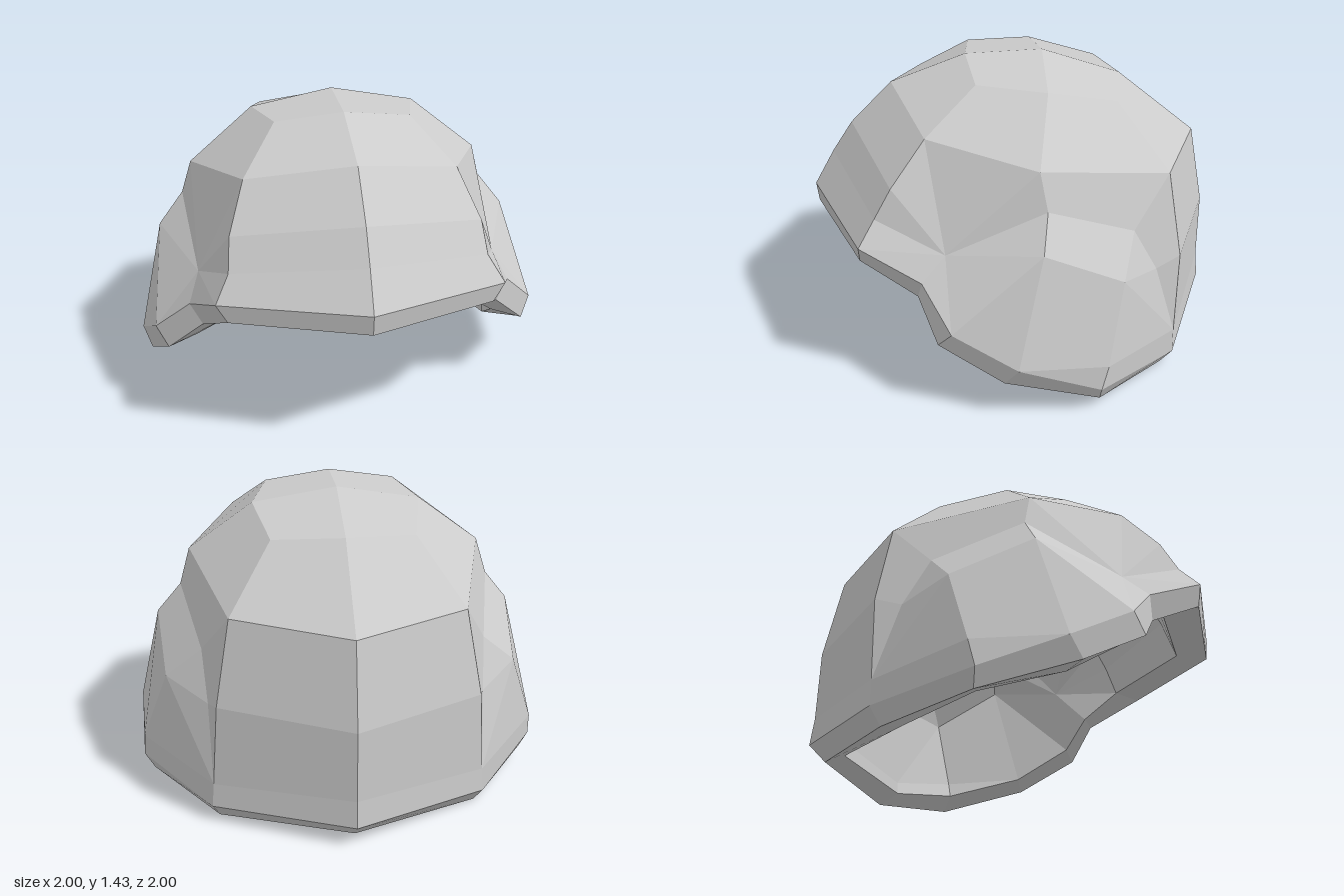
import * as THREE from 'three';

const material = new THREE.MeshStandardMaterial({ color: 0xcccccc });

// One flat normal for a whole polygon
function polygonNormal(poly) {
  const n = new THREE.Vector3();
  poly.forEach((p, i) => {
    const q = poly[(i + 1) % poly.length];
    n.add(new THREE.Vector3(...p).cross(new THREE.Vector3(...q)));
  });
  return n.normalize();
}

// Builds a mesh from half-model polygons (+x side) and mirrors them across x = 0
function mirroredMesh(name, polygons) {
  const pos = [], nor = [];
  for (const poly of polygons) {
    const n = polygonNormal(poly);
    for (let i = 1; i < poly.length - 1; i++) {
      const tri = [poly[0], poly[i], poly[i + 1]];
      for (const p of tri) {
        pos.push(...p);
        nor.push(n.x, n.y, n.z);
      }
      for (const p of tri.reverse()) {
        pos.push(-p[0], p[1], p[2]);
        nor.push(-n.x, n.y, n.z);
      }
    }
  }
  const geo = new THREE.BufferGeometry();
  geo.setAttribute('position', new THREE.Float32BufferAttribute(pos, 3));
  geo.setAttribute('normal', new THREE.Float32BufferAttribute(nor, 3));
  const mesh = new THREE.Mesh(geo, material);
  mesh.name = name;
  return mesh;
}

// Quads between two matching rows of points
function strip(a, b) {
  const quads = [];
  for (let i = 0; i < a.length - 1; i++) quads.push([b[i], b[i + 1], a[i + 1], a[i]]);
  return quads;
}

// Rim half rings, front to back: upper outside, lower outside, inside
const rim = [[0, .765, 1], [.65, .75, .765], [.76, .62, .49], [.925, .45, .37],
  [1, .29, .08], [.975, .14, -.3], [.64, .08, -.71], [0, .11, -1]];
const rimLow = [[0, .67, .99], [.6, .66, .765], [.705, .52, .51], [.87, .365, .43],
  [.96, .2, .14], [.93, .06, -.3], [.61, 0, -.66], [0, .03, -.92]];
const rimIn = [[0, .68, .83], [.5, .66, .62], [.57, .52, .45], [.73, .39, .37],
  [.78, .22, .1], [.78, .11, -.28], [.52, .04, -.57], [0, .065, -.83]];

// Columns run from the crown down to the rim
const outside = {
  rim,
  centre: [[0, 1.42, .24], [0, 1.29, .6], [0, 1.09, .8], [0, .94, .9]],
  corner: [[.32, 1.38, .21], [.49, 1.2, .45], [.57, 1, .61], [.585, .86, .69]],
  backCentre: [[0, 1.43, -.13], [0, 1.3, -.51], [0, .98, -.9], [0, .58, -.98], [0, .24, -.985]],
  backCorner: [[.4, 1.36, -.11], [.33, 1.28, -.44], [.53, 1, -.66], [.6, .6, -.72], [.63, .2, -.71]],
  sideTop: [.71, 1.12, -.04],
  ledge: [[.76, .95, -.07], [.88, .8, -.04], [.835, .62, -.41], [.66, .78, -.48]],
  hollows: [[.71, .73, .38], [.64, .56, -.6]],
  bulgeFoot: [.965, .26, -.33],
};
const inside = {
  rim: rimIn,
  centre: [[0, 1.28, .2], [0, 1.16, .5], [0, .99, .68], [0, .86, .76]],
  corner: [[.27, 1.24, .17], [.41, 1.08, .37], [.48, .92, .5], [.49, .8, .565]],
  backCentre: [[0, 1.29, -.11], [0, 1.17, -.44], [0, .9, -.77], [0, .57, -.84], [0, .13, -.83]],
  backCorner: [[.34, 1.23, -.1], [.28, 1.16, -.38], [.45, .92, -.56], [.51, .58, -.59], [.53, .1, -.575]],
  sideTop: [.6, 1.01, -.04],
  ledge: [[.64, .86, -.06], [.76, .72, -.04], [.75, .5, -.36], [.56, .72, -.44]],
  hollows: [[.64, .69, .3], [.56, .52, -.54]],
  bulgeFoot: [.79, .18, -.29],
};

// Faces of one skin of the shell, grouped by part
function skin(s) {
  const [p0, p1, p2, p3, p4, p5, p6, p7] = s.rim;
  const [a0, a1, a2, a3] = s.corner;
  const [c0, b0, b1, b2, s6] = s.backCorner;
  const [ledgeIn, ledgeOut, ledgeBackOut, ledgeBackIn] = s.ledge;
  const [hollowFront, hollowBack] = s.hollows;
  return {
    frontShell: strip([...s.corner, p1], [...s.centre, p0]),
    crown: [[s.centre[0], a0, c0, s.backCentre[0]]],
    backShell: strip([...s.backCentre, p7], [...s.backCorner, p6]),
    sideShell: [
      [a0, a1, s.sideTop, c0], [c0, s.sideTop, b1, b0],
      [a1, a2, hollowFront], [a2, a3, hollowFront], [a3, p1, hollowFront],
      [p1, p2, hollowFront], [p2, p3, hollowFront],
      [a1, hollowFront, s.sideTop], [s.sideTop, hollowFront, ledgeIn],
      [s.sideTop, ledgeIn, ledgeBackIn, b1],
      [b1, ledgeBackIn, hollowBack, b2], [b2, hollowBack, s6],
    ],
    earBulge: [
      [ledgeIn, hollowFront, ledgeOut], [hollowFront, p3, ledgeOut], [p3, p4, ledgeOut],
      [ledgeIn, ledgeOut, ledgeBackOut, ledgeBackIn],
      [ledgeOut, p4, s.bulgeFoot, ledgeBackOut],
      [ledgeBackIn, ledgeBackOut, hollowBack], [hollowBack, ledgeBackOut, s6],
      [ledgeBackOut, s.bulgeFoot, s6], [p4, p5, s.bulgeFoot], [s.bulgeFoot, p5, p6, s6],
    ],
  };
}

export function createModel() {
  const group = new THREE.Group();
  group.name = 'helmet';

  // Outer skin
  for (const [name, faces] of Object.entries(skin(outside))) group.add(mirroredMesh(name, faces));

  // Thick rim
  group.add(mirroredMesh('rim', [...strip(rim, rimLow), ...strip(rimLow, rimIn)]));

  // Inner skin, facing inward
  const liningFaces = Object.values(skin(inside)).flat().map(face => [...face].reverse());
  group.add(mirroredMesh('lining', liningFaces));

  return group;
}
